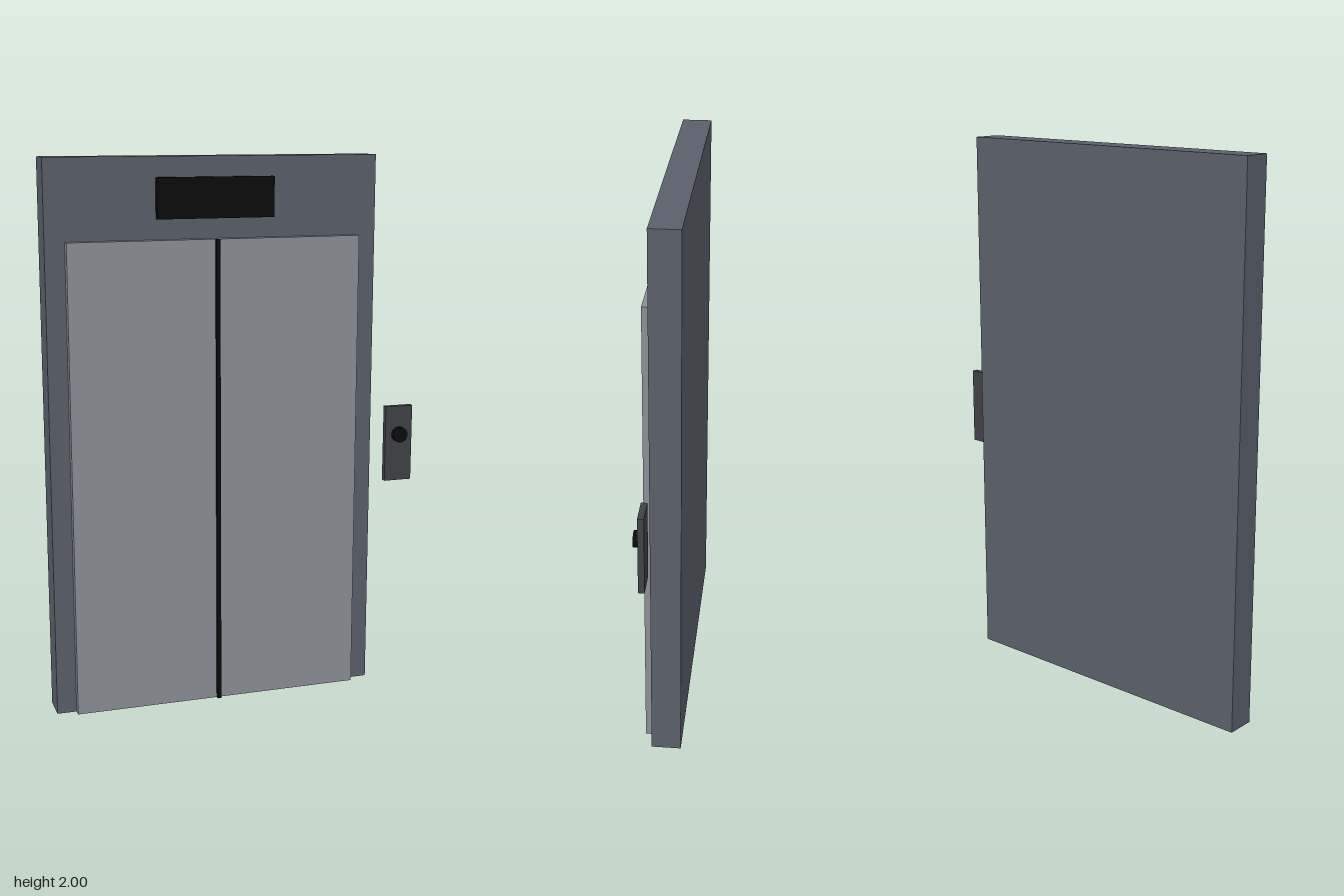
import * as THREE from 'three';

const paint = (color) => new THREE.MeshStandardMaterial({ color });

export function createModel() {
  const model = new THREE.Group();
  const frameGrey = paint(0x5a606a);
  const doorGrey = paint(0x8b8f96);
  const panelGrey = paint(0x3f4247);
  const black = paint(0x0c0c0c);

  const cx = -0.08; // centre line of the doorway
  const wall = 0.032; // front face of the frame

  // Box placed by its centre in x and y and its back and front in z
  function box(name, material, w, h, x, y, back, front) {
    const mesh = new THREE.Mesh(new THREE.BoxGeometry(w, h, front - back), material);
    mesh.name = name;
    mesh.position.set(x, y, (back + front) / 2);
    model.add(mesh);
  }

  // Wall slab behind the doors
  box('frame', frameGrey, 1.214, 2, cx, 1, -0.075, wall);

  // Pair of sliding doors with a dark seam between them
  for (const side of [-1, 1]) {
    box(side < 0 ? 'rightDoor' : 'leftDoor', doorGrey, 0.536, 1.714, cx + side * 0.268, 0.857, wall, 0.061);
  }
  box('doorSeam', black, 0.014, 1.714, cx, 0.857, wall, 0.075);

  // Floor display above the doors
  box('display', black, 0.428, 0.143, cx, 1.857, wall, 0.054);

  // Call panel beside the frame, with its round button
  box('callPanel', panelGrey, 0.107, 0.286, 0.634, 0.929, wall, 0.054);
  const button = new THREE.Mesh(new THREE.CylinderGeometry(0.0286, 0.0286, 0.021, 32), black);
  button.name = 'callButton';
  button.rotation.x = Math.PI / 2;
  button.position.set(0.634, 0.964, 0.0625);
  model.add(button);

  return model;
}
